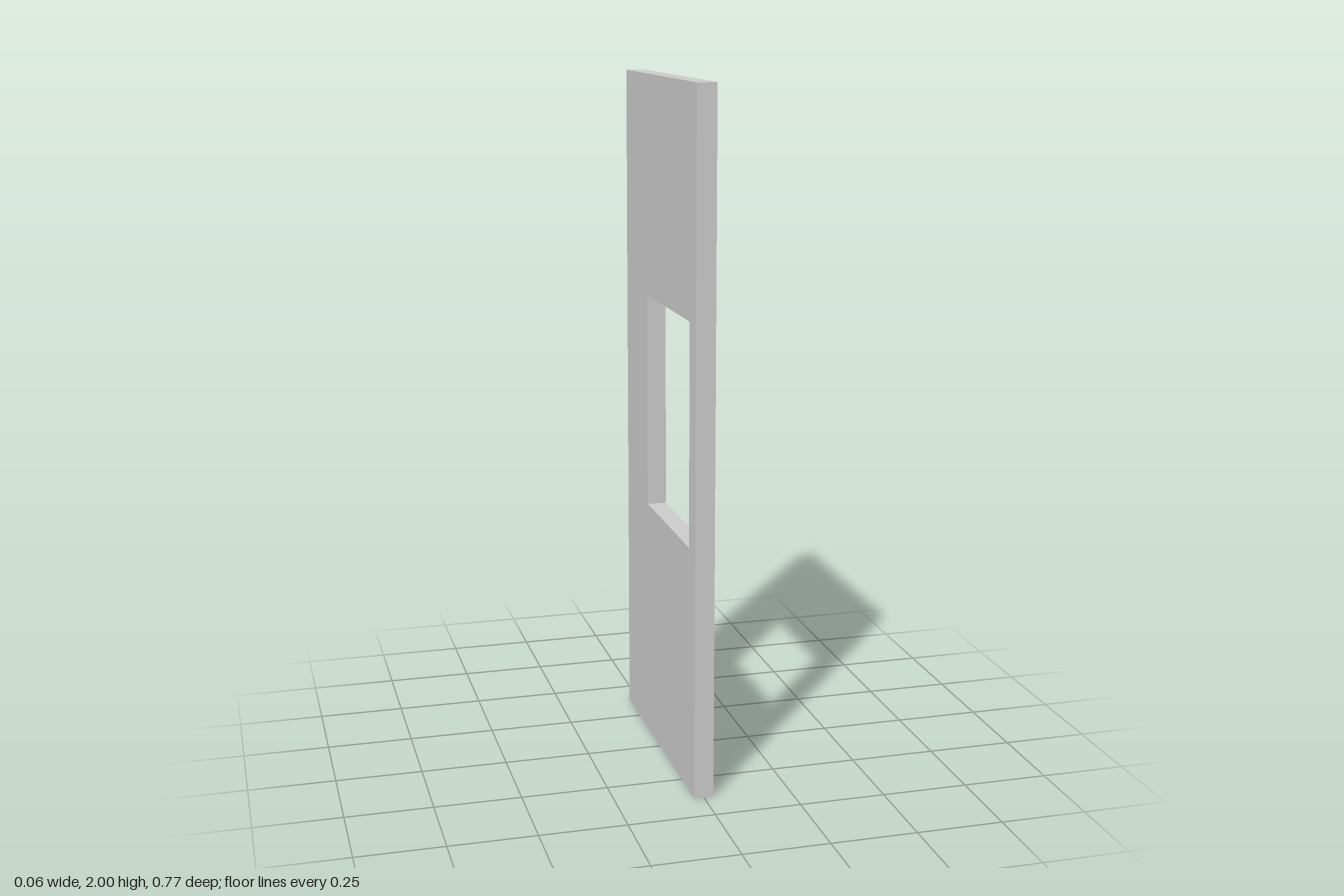
import * as THREE from 'three';

const THICKNESS = 0.056;

// Closed rectangle: horizontal axis is z, vertical axis is y
function rectangle(PathType, z0, z1, y0, y1) {
  const p = new PathType();
  p.moveTo(z0, y0);
  p.lineTo(z1, y0);
  p.lineTo(z1, y1);
  p.lineTo(z0, y1);
  p.closePath();
  return p;
}

export function createModel() {
  const group = new THREE.Group();
  group.name = 'wallPanel';

  // Flat panel with an off-centre window opening
  const outline = rectangle(THREE.Shape, -0.385, 0.385, 0, 2);
  outline.holes.push(rectangle(THREE.Path, -0.14, 0.321, 0.724, 1.361));

  const geometry = new THREE.ExtrudeGeometry(outline, { depth: THICKNESS, bevelEnabled: false });
  geometry.translate(0, 0, -THICKNESS / 2);
  geometry.rotateY(-Math.PI / 2); // outline's horizontal axis becomes z

  const panel = new THREE.Mesh(geometry, new THREE.MeshStandardMaterial({ color: 0xcccccc }));
  panel.name = 'panelWithWindowOpening';
  group.add(panel);
  return group;
}
